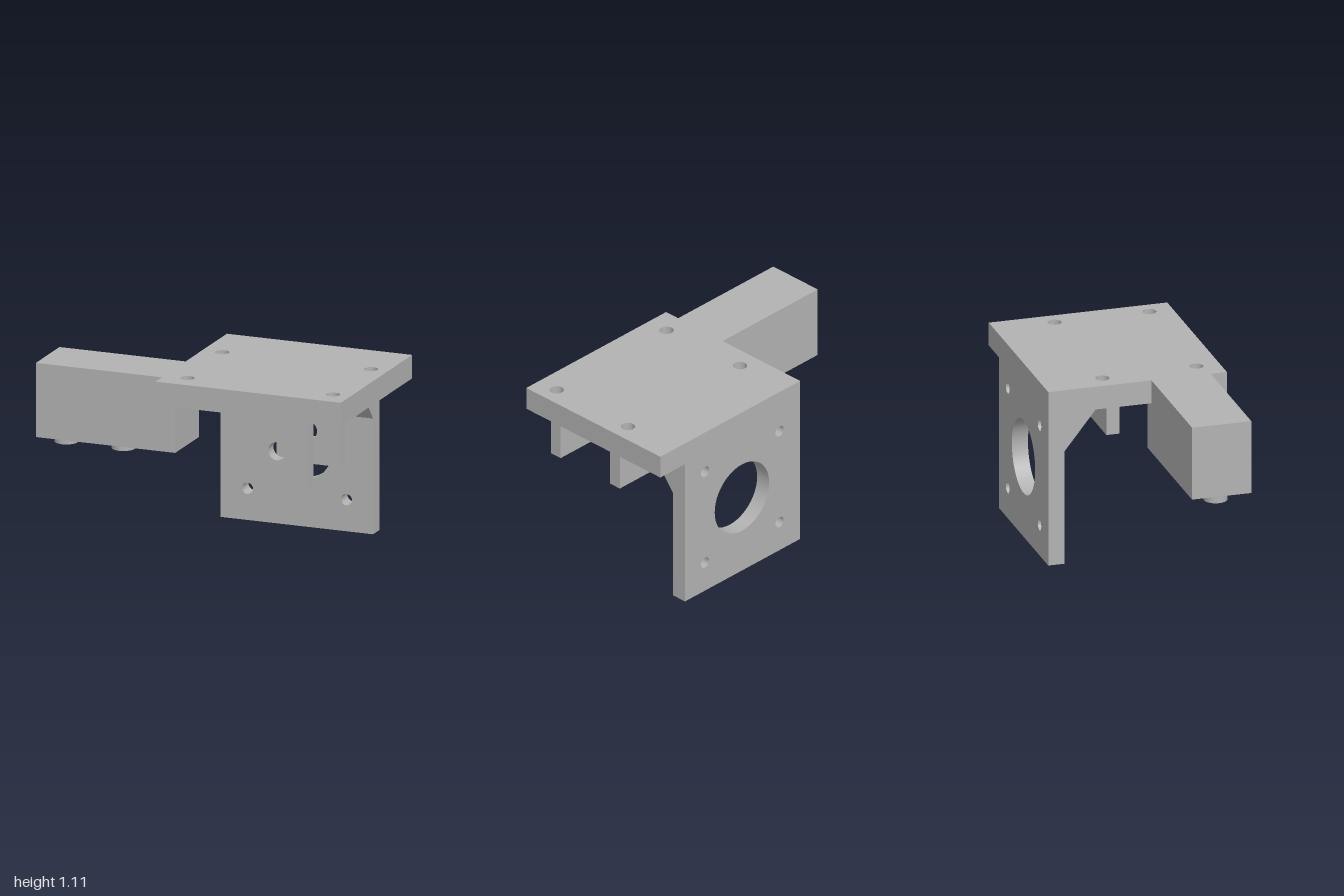
import * as THREE from 'three';
import { toCreasedNormals } from 'three/addons/utils/BufferGeometryUtils.js';

const grey = new THREE.MeshStandardMaterial({ color: 0xb2b2b2 });
grey.name = 'grey';

// Polygon with round holes given as [x, y, radius]
function outline(points, holes = []) {
  const shape = new THREE.Shape(points.map(([x, y]) => new THREE.Vector2(x, y)));
  for (const [x, y, r] of holes) {
    const hole = new THREE.Path();
    hole.absarc(x, y, r, 0, Math.PI * 2, true);
    shape.holes.push(hole);
  }
  return shape;
}

const rect = (x0, y0, x1, y1) => [[x0, y0], [x1, y0], [x1, y1], [x0, y1]];

function extrude(shape, depth) {
  return new THREE.ExtrudeGeometry(shape, { depth, bevelEnabled: false, curveSegments: 24 });
}

export function createModel() {
  const model = new THREE.Group();
  const add = (name, geometry) => {
    const mesh = new THREE.Mesh(toCreasedNormals(geometry, 0.6), grey);
    mesh.name = name;
    model.add(mesh);
  };
  // Upright slab lying in the xy plane, from z0 to z1
  const slab = (name, points, holes, z0, z1) =>
    add(name, extrude(outline(points, holes), z1 - z0).translate(0, 0, z0));

  // Top plate in two layers, so the screw holes widen below
  const screws = [[-0.065, -0.18], [0.89, -0.18], [-0.045, 0.41], [0.89, 0.41]];
  const bottom = 0.96, top = 1.105, sink = 1.015, rHole = 0.042, rSink = 0.085;
  const layer = (name, r, y0, y1) => add(name,
    extrude(outline(rect(-0.19, -0.555, 1, 0.555), screws.map(([x, z]) => [x, -z, r])), y1 - y0)
      .rotateX(-Math.PI / 2).translate(0, y0, 0));
  layer('topPlateUpper', rHole, sink, top);
  layer('topPlateLower', rSink, bottom, sink);

  // Conical countersinks: profile runs downwards so the faces look inwards
  const cone = [new THREE.Vector2(rHole, sink), new THREE.Vector2(rSink, bottom)];
  for (const [x, z] of screws) {
    add('countersink', new THREE.LatheGeometry(cone, 48).translate(x, 0, z));
  }

  // Rear motor wall with central bore and four bolt holes
  const bolts = [-0.015, 0.62].flatMap(x => [0.195, 0.83].map(y => [x, y, 0.035]));
  slab('rearWall', rect(-0.19, 0, 0.79, 0.96), [[0.305, 0.51, 0.232], ...bolts], -0.555, -0.455);

  // Gussets: sheared front face, edge notched for the upper bolt holes
  const foot = 0.715, wallZ = -0.455, slope = 0.195 / (0.96 - foot);
  const notch = Math.acos(0.01 / 0.035);
  const profile = [[-0.19, foot], [-0.025, foot]];
  for (let i = 0; i <= 12; i++) {
    const a = Math.PI + notch - (2 * notch * i) / 12;
    profile.push([-0.015 + 0.035 * Math.cos(a), 0.83 + 0.035 * Math.sin(a)]);
  }
  profile.push([-0.025, 0.96], [-0.19, 0.96]);
  for (const name of ['rightGusset', 'leftGusset']) {
    const points = name === 'rightGusset' ? profile : profile.map(([x, y]) => [0.6 - x, y]);
    const geometry = extrude(outline(points), 1);
    const p = geometry.attributes.position;
    for (let i = 0; i < p.count; i++) {
      p.setZ(i, wallZ + (p.getZ(i) > 0.5 ? (p.getY(i) - foot) * slope : 0));
    }
    add(name, geometry);
  }

  // Pair of hanging lugs with a pivot hole
  for (const [name, z0, z1] of [['frontLug', 0.475, 0.555], ['rearLug', -0.015, 0.068]]) {
    slab(name, rect(0.385, 0.555, 0.79, 0.96), [[0.59, 0.76, 0.056]], z0, z1);
  }

  // Side arm, stepped to tuck under the plate
  slab('sideArm', [[-1, 0.647], [-0.105, 0.647], [-0.105, 0.96], [-0.19, 0.96],
    [-0.19, top], [-1, top]], [], 0.087, 0.455);

  // Hollow bosses below the arm
  const ring = new THREE.Shape();
  ring.absarc(0, 0, 0.071, 0, Math.PI * 2, false);
  const bore = new THREE.Path();
  bore.absarc(0, 0, 0.027, 0, Math.PI * 2, true);
  ring.holes.push(bore);
  for (const x of [-0.88, -0.513]) {
    add('boss', extrude(ring, 0.062).rotateX(-Math.PI / 2).translate(x, 0.585, 0.27));
  }
  return model;
}
